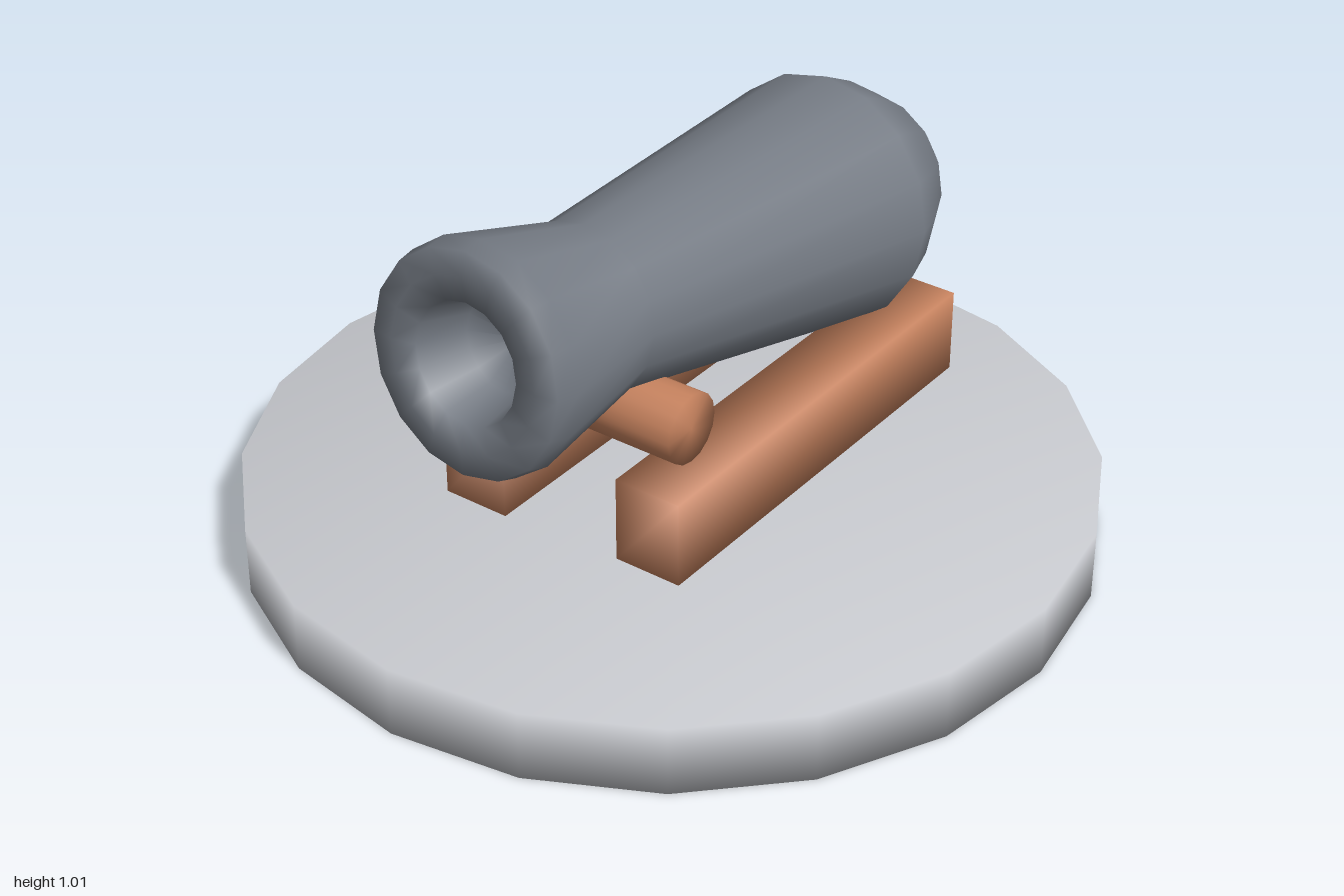
import * as THREE from 'three';
import { mergeVertices } from 'three/addons/utils/BufferGeometryUtils.js';

// Joins the faces of a solid so that its shading runs softly over the edges
function soften(geometry) {
  geometry.deleteAttribute('normal');
  geometry.deleteAttribute('uv');
  const joined = mergeVertices(geometry);
  joined.computeVertexNormals();
  return joined;
}

export function createModel() {
  const group = new THREE.Group();
  const material = (name, color) => {
    const m = new THREE.MeshStandardMaterial({ color });
    m.name = name;
    return m;
  };
  const stone = material('pale stone', 0xc8cacf);
  const iron = material('dark iron', 0x757b84);
  const wood = material('brown wood', 0xc6825e);

  const add = (name, geometry, mat, x, y, z) => {
    const mesh = new THREE.Mesh(geometry, mat);
    mesh.name = name;
    mesh.position.set(x, y, z);
    group.add(mesh);
    return mesh;
  };

  // Round plinth with twenty sides: pale side and top, dark underside
  add('base', soften(new THREE.CylinderGeometry(1, 1, 0.17, 20)), [stone, stone, iron], 0, 0.085, 0);

  // Two long rails, slightly offset from each other
  add('rightRail', soften(new THREE.BoxGeometry(0.17, 0.21, 1.12)), wood, -0.24, 0.275, -0.14);
  add('leftRail', soften(new THREE.BoxGeometry(0.17, 0.21, 1.115)), wood, 0.23, 0.275, -0.157);

  // Crossbar that props up the neck of the barrel
  const bar = add('crossbar', soften(new THREE.CylinderGeometry(0.085, 0.085, 0.475, 16)), wood, -0.002, 0.465, 0.245);
  bar.rotation.z = Math.PI / 2;

  // Barrel profile (radius, distance) from the rear tip to the bottom of the bore
  const profile = [
    [0, 0], [0.11, 0.045], [0.205, 0.165], [0.267, 0.28], [0.306, 0.385],
    [0.2, 1.25], [0.268, 1.58], [0.257, 1.63], [0.2, 1.638], [0.14, 1.625],
    [0.11, 1.5], [0, 1.45],
  ].map(([r, s]) => new THREE.Vector2(r, s));
  const tip = new THREE.Vector3(0.035, 0.57, -0.943);
  const muzzle = new THREE.Vector3(-0.035, 0.745, 0.68);
  const barrel = add('barrel', new THREE.LatheGeometry(profile, 16), iron, tip.x, tip.y, tip.z);
  barrel.quaternion.setFromUnitVectors(
    new THREE.Vector3(0, 1, 0),
    muzzle.sub(tip).normalize(),
  );

  return group;
}
